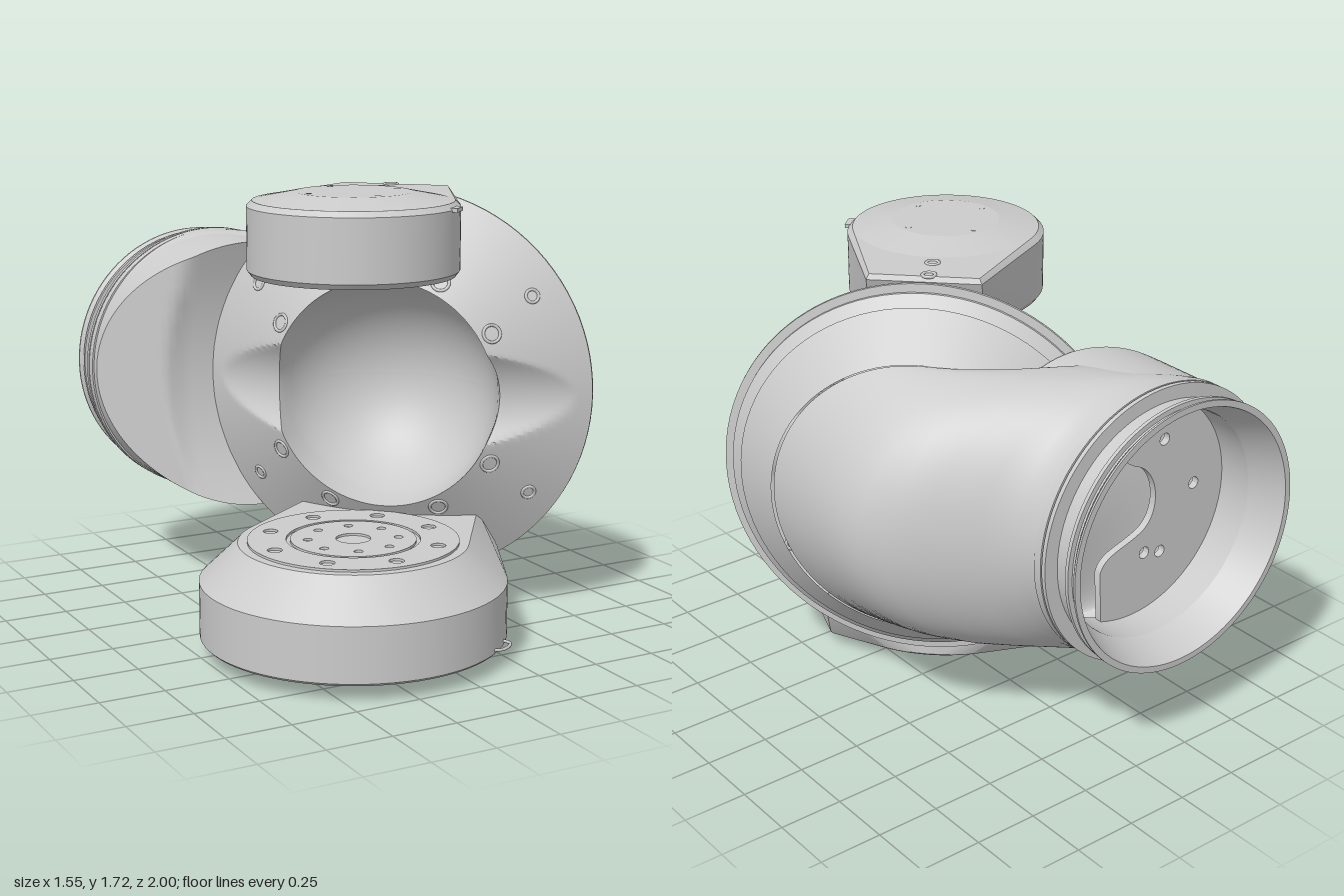
import * as THREE from 'three';
import { toCreasedNormals } from 'three/addons/utils/BufferGeometryUtils.js';
import { ConvexGeometry } from 'three/addons/geometries/ConvexGeometry.js';

const mat = new THREE.MeshStandardMaterial({ color: 0xcccccc, side: THREE.DoubleSide });
const V = (x, y, z) => new THREE.Vector3(x, y, z);
const MID = 0.9;                 // height of the slanted ring and the tube
const PIVOT = [-0.2, 0.42];      // x, z of the fork's pivot axis
const RING_U = 0.16;             // offset of the slanted ring along its own plane
const TAU = Math.PI * 2;

function add(parent, name, geo, crease = 0.5) {
  const mesh = new THREE.Mesh(crease ? toCreasedNormals(geo, crease) : geo, mat);
  mesh.name = name;
  parent.add(mesh);
  return mesh;
}

// Skin through closed rings with equal point counts
function loft(rings) {
  const n = rings[0].length, pos = [], idx = [];
  rings.forEach(r => r.forEach(p => pos.push(p.x, p.y, p.z)));
  for (let j = 0; j < rings.length - 1; j++) {
    for (let i = 0; i < n; i++) {
      const a = j * n + i, b = j * n + (i + 1) % n;
      idx.push(a, b, a + n, b, b + n, a + n);
    }
  }
  const g = new THREE.BufferGeometry();
  g.setAttribute('position', new THREE.Float32BufferAttribute(pos, 3));
  g.setIndex(idx);
  g.computeVertexNormals();
  return g;
}

const ring = fn => Array.from({ length: 128 }, (_, i) => fn(i / 128 * TAU));

// Lathe whose axis runs along z; pairs are [radius, z]
const latheZ = pts => new THREE.LatheGeometry(pts.map(p => new THREE.Vector2(p[0], p[1])), 96).rotateX(Math.PI / 2);

function circleHoles(shape, list) {
  for (const [x, y, r] of list) {
    const h = new THREE.Path();
    h.absarc(x, y, r, 0, TAU, true);
    shape.holes.push(h);
  }
  return shape;
}

const circlePattern = (count, R, r, start = 0) =>
  Array.from({ length: count }, (_, i) => {
    const a = start + i / count * TAU;
    return [R * Math.cos(a), R * Math.sin(a), r];
  });

// Fork arm: layers of [y, pivot radius, half width and depth of the end at the slanted ring]
function arm(layers) {
  const pts = [];
  for (const [y, r, w, f] of layers) {
    for (let i = 0; i < 80; i++) {
      const a = i / 80 * TAU;
      pts.push(V(PIVOT[0] + r * Math.cos(a), y, PIVOT[1] + r * Math.sin(a)));
    }
    for (const u of [RING_U - w, RING_U + w]) pts.push(V((u - f) * Math.SQRT1_2, y, (u + f) * Math.SQRT1_2));
  }
  return new ConvexGeometry(pts);
}

function buildFork(model) {
  const fork = new THREE.Group();
  fork.name = 'fork';
  model.add(fork);
  add(fork, 'lowerArm', arm([[0.06, 0.565, 0.41, -0.01], [0.07, 0.575, 0.42, -0.015],
    [0.28, 0.575, 0.42, -0.12], [0.42, 0.43, 0.34, -0.12]]), 0.4);
  add(fork, 'upperArm', arm([[1.42, 0.37, 0.2, -0.03], [1.44, 0.385, 0.215, -0.04],
    [1.67, 0.385, 0.215, -0.13], [1.69, 0.365, 0.205, -0.12]]), 0.4);

  const pivot = new THREE.Group();
  pivot.name = 'pivotDetails';
  pivot.position.set(PIVOT[0], 0, PIVOT[1]);
  fork.add(pivot);
  add(pivot, 'lowerCap', new THREE.CylinderGeometry(0.555, 0.405, 0.06, 96), 0.3).position.y = 0.03;

  // Bearing faces with bolt holes on the lower arm
  const plate = (name, outer, holes) => {
    const s = new THREE.Shape();
    s.absarc(0, 0, outer, 0, TAU);
    const g = new THREE.ExtrudeGeometry(circleHoles(s, holes), { depth: 0.014, bevelEnabled: false, curveSegments: 32 });
    add(pivot, name, g.rotateX(-Math.PI / 2)).position.y = 0.415;
  };
  plate('bearingRing', 0.395, [[0, 0, 0.25], ...circlePattern(8, 0.325, 0.028)]);
  plate('bearingHub', 0.235, [[0, 0, 0.065], ...circlePattern(8, 0.17, 0.017, 0.4)]);

  // Cap on the upper arm
  add(pivot, 'upperCap', new THREE.CylinderGeometry(0.21, 0.36, 0.03, 96), 0.15).position.y = 1.705;
  for (const [x, z] of circlePattern(4, 0.18, 0)) {
    add(pivot, 'capPin', new THREE.CylinderGeometry(0.011, 0.011, 0.004, 12)).position.set(x, 1.719, z);
  }
  // Connector screws beside the cap
  for (const [x, z] of [[0.09, 0.12], [0.175, 0.03]]) {
    const t = add(fork, 'connectorScrew', new THREE.TorusGeometry(0.024, 0.007, 8, 20).rotateX(Math.PI / 2), 0);
    t.position.set(x, 1.689, z);
  }
  // Wire loop and small clip
  const wire = new THREE.CatmullRomCurve3([V(0.08, 0.085, 0.88), V(0.17, 0.08, 0.89), V(0.215, 0.085, 0.86),
    V(0.205, 0.085, 0.82), V(0.16, 0.085, 0.83)]);
  add(fork, 'wireLoop', new THREE.TubeGeometry(wire, 24, 0.006, 8), 0);
  add(fork, 'clip', new THREE.BoxGeometry(0.07, 0.015, 0.035).rotateY(0.75)).position.set(0.05, 1.67, 0.71);
}

// Slanted ring; local +z points out of its bowl
function buildSlantedRing(model) {
  const g = new THREE.Group();
  g.name = 'slantedRing';
  g.position.set(RING_U * Math.SQRT1_2, MID, RING_U * Math.SQRT1_2);
  g.rotation.y = -Math.PI / 4;
  model.add(g);

  // Cone outside, bowl inside, and a scoop in the cone on either side
  const R = 0.444, top = 0.064;
  const cone = r => top - (r - R) * 0.65;
  const face = new THREE.RingGeometry(0, 0.777, 192, 56);
  const p = face.attributes.position;
  for (let i = 0; i < p.count; i++) {
    const x = p.getX(i), y = p.getY(i), r = Math.hypot(x, y);
    const scoop = -0.016 - 0.36 * (Math.abs(x) - R) + 2.2 * y * y;
    p.setZ(i, r < R - 0.002 ? top - Math.sqrt(R * R - r * r) : Math.min(cone(r), scoop));
  }
  add(g, 'bowlFace', face, 0.45);

  // Rim and back cone
  add(g, 'rimAndBackCone', latheZ([[0.55, -0.39], [0.705, -0.222], [0.7, -0.217], [0.705, -0.212],
    [0.745, -0.18], [0.745, -0.168], [0.777, -0.165], [0.777, -0.152]]), 0.3);

  // Countersunk screws on the conical face
  for (const [deg, r, size] of [[31, 0.49, 0.033], [63.5, 0.49, 0.033], [35, 0.67, 0.025]]) {
    for (const sx of [-1, 1]) for (const sy of [-1, 1]) {
      const a = deg * Math.PI / 180, cx = Math.cos(a) * sx, cy = Math.sin(a) * sy;
      const screw = add(g, 'screwSeat', new THREE.TorusGeometry(size, 0.006, 8, 24), 0);
      screw.position.set(r * cx, r * cy, cone(r));
      screw.quaternion.setFromUnitVectors(V(0, 0, 1), V(cx * 0.65, cy * 0.65, 1).normalize());
    }
  }
}

function buildElbow(model) {
  const elbow = new THREE.Group();
  elbow.name = 'elbow';
  model.add(elbow);

  // Rounded sections: outer x, z then inner x, z; the inner half is fuller midway along
  const sections = [
    [0.77, 0.22, 0, -0.55], [0.772, 0.05, -0.12, -0.555], [0.772, -0.1, -0.26, -0.565], [0.768, -0.22, -0.4, -0.58],
    [0.75, -0.3, -0.5, -0.6], [0.7, -0.39, -0.57, -0.645], [0.6, -0.49, -0.62, -0.69],
    [0.46, -0.62, -0.67, -0.73], [0.37, -0.7, -0.71, -0.77], [0.345, -0.77, -0.735, -0.795], [0.343, -0.83, -0.743, -0.83]];
  add(elbow, 'elbowShell', loft(sections.map(([px, pz, qx, qz], k) => ring(a => {
    const fuller = 1 - 0.35 * Math.sin(Math.PI * Math.min(1, k / 7));
    const cos = Math.cos(a), c = (1 + (cos < 0 ? -Math.pow(-cos, fuller) : cos)) / 2;
    return V(qx + (px - qx) * c, MID + 0.548 * Math.sin(a), qz + (pz - qz) * c);
  }))), 0.6);

  // Tube body, its front cut by a slanted plane and a hollowed face
  const cut = (x, v) => Math.min(x - 0.03, -0.56 + 0.39 * v * v + 0.17 * Math.max(0, x + 0.44));
  const body = (zf, sy) => ring(a => {
    const x = -0.2 + 0.54 * Math.cos(a), v = 0.54 * sy * Math.sin(a);
    return V(x, MID + v, zf(x, v));
  });
  add(elbow, 'tubeBody', loft([body(() => -0.83, 1), body(cut, 1)]));
  add(elbow, 'tubeFrontFace', loft([1, 0.8, 0.6, 0.4, 0.2, 0].map(s => body(cut, s))), 1.2);

  // Tube mouth; local +z points backwards
  const mouth = new THREE.Group();
  mouth.name = 'tubeMouth';
  mouth.position.set(-0.2, MID, 0);
  mouth.rotation.y = Math.PI;
  elbow.add(mouth);
  add(mouth, 'collar', latheZ([[0.54, 0.8], [0.547, 0.8], [0.547, 0.835], [0.535, 0.835], [0.535, 0.842],
    [0.547, 0.842], [0.547, 0.86], [0.492, 0.862], [0.492, 0.94], [0.525, 0.942], [0.525, 0.957],
    [0.505, 0.957], [0.505, 0.968], [0.515, 0.975], [0.53, 0.992], [0.53, 1], [0.505, 1],
    [0.45, 0.86], [0.45, 0.68]]), 0.3);

  // Inner plate with a wavy cut-out on one side
  const s = new THREE.Shape();
  s.absarc(0, 0, 0.455, -1.9, 1.9, false);
  s.bezierCurveTo(-0.13, 0.3, -0.08, 0.22, 0, 0.18);
  s.bezierCurveTo(0.12, 0.14, 0.14, -0.04, 0.05, -0.1);
  s.bezierCurveTo(-0.04, -0.15, -0.14, -0.14, -0.16, -0.22);
  s.closePath();
  circleHoles(s, [[0.02, 0.3, 0.024], [0.14, 0.25, 0.024], [0.3, 0.02, 0.024], [0.06, -0.2, 0.024], [0.14, -0.22, 0.024]]);
  add(mouth, 'innerPlate', new THREE.ExtrudeGeometry(s, { depth: 0.03, bevelEnabled: false, curveSegments: 32 }))
    .position.z = 0.69;
}

export function createModel() {
  const model = new THREE.Group();
  model.name = 'wristJoint';
  buildFork(model);
  buildSlantedRing(model);
  buildElbow(model);
  return model;
}
